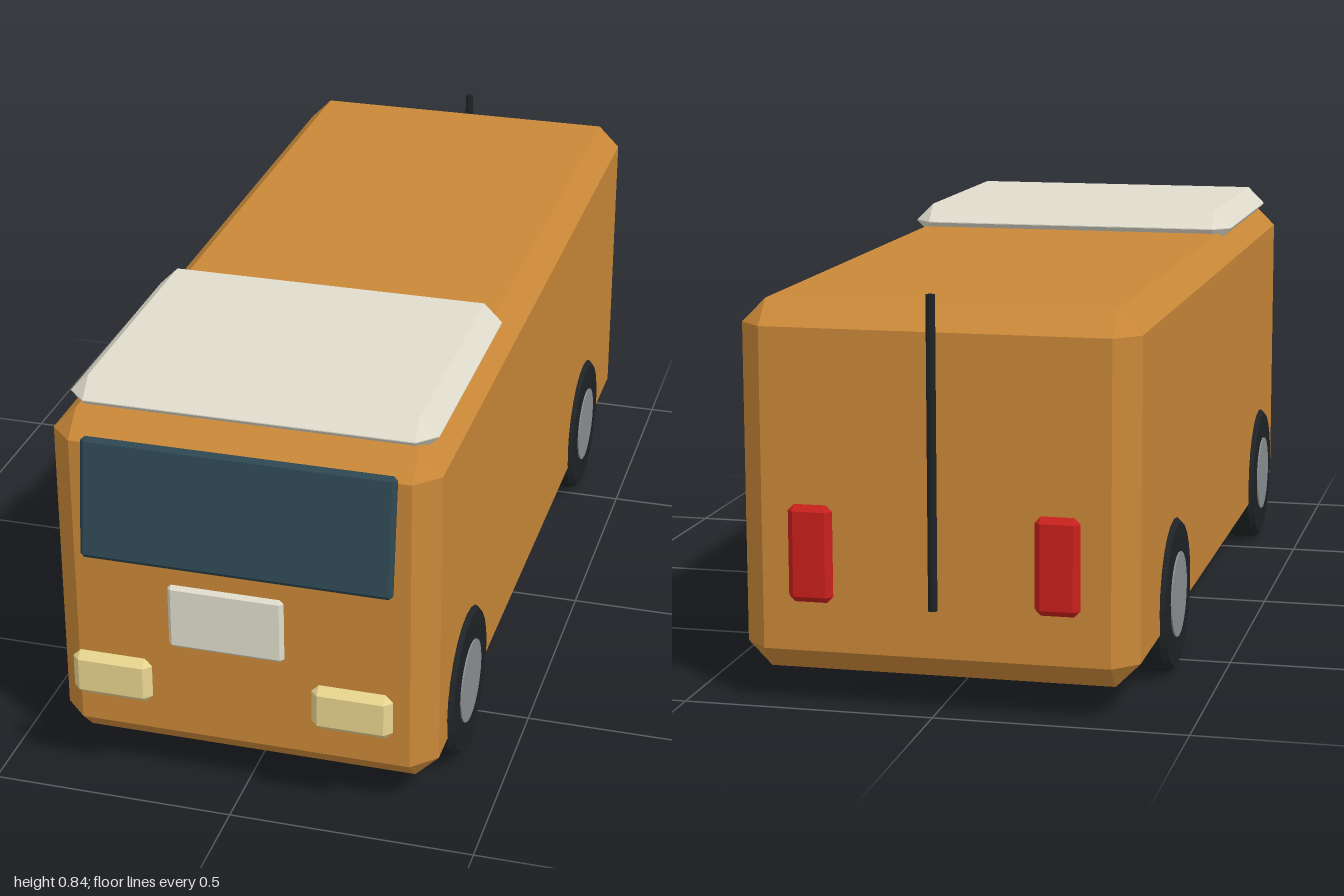
import * as THREE from 'three';
import { ConvexGeometry } from 'three/addons/geometries/ConvexGeometry.js';

const mat = (color) => new THREE.MeshStandardMaterial({ color, flatShading: true });

// Box with every edge chamfered by c: each corner becomes three points
function chamferBox(w, h, d, c) {
  const half = [w / 2, h / 2, d / 2];
  const points = [];
  for (const sx of [-1, 1]) for (const sy of [-1, 1]) for (const sz of [-1, 1]) {
    for (let full = 0; full < 3; full++) {
      const [x, y, z] = half.map((v, axis) => (axis === full ? v : v - c));
      points.push(new THREE.Vector3(sx * x, sy * y, sz * z));
    }
  }
  return new ConvexGeometry(points);
}

export function createModel() {
  const van = new THREE.Group();
  van.name = 'van';

  const paint = mat(0xc98838);
  const cream = mat(0xe0dccd);
  const glass = mat(0x2e4752);
  const lamp = mat(0xe8d590);
  const red = mat(0xc8201c);
  const rubber = mat(0x1f2325);
  const steel = mat(0x8c9092);

  function add(name, geometry, material, x, y, z, parent = van) {
    const mesh = new THREE.Mesh(geometry, material);
    mesh.name = name;
    mesh.position.set(x, y, z);
    parent.add(mesh);
    return mesh;
  }

  // Shell and raised roof
  add('body', chamferBox(0.784, 0.73, 1.876, 0.048), paint, 0, 0.43, -0.038);
  add('raisedRoof', chamferBox(0.744, 0.078, 0.606, 0.038), cream, 0, 0.806, 0.538);

  // Front panel
  const windscreen = add('windscreen', chamferBox(0.634, 0.252, 0.02, 0.008), glass, 0, 0.637, 0.917);
  windscreen.rotation.x = -0.125;
  add('frontPlate', chamferBox(0.234, 0.138, 0.016, 0.0075), cream, 0, 0.444, 0.992);

  // Lamps
  for (const side of [-1, 1]) {
    add('headlight', chamferBox(0.164, 0.098, 0.032, 0.015), lamp, side * 0.246, 0.271, 0.97);
    add('tailLight', chamferBox(0.088, 0.192, 0.026, 0.012), red, side * 0.243, 0.31, -0.987);
  }

  // Rear pole
  add('rearPole', new THREE.CylinderGeometry(0.009, 0.009, 0.61, 10), rubber, 0, 0.516, -0.99);

  // Wheel with chamfered tyre and a hub on the axle
  function addWheel(name, x, z, width, hubRadius, hubWidth) {
    const wheel = new THREE.Group();
    wheel.name = name;
    wheel.position.set(x, 0.16, z);
    wheel.rotation.z = Math.PI / 2;
    const r = 0.158, b = 0.012, h = width / 2;
    const profile = [[0, -h], [r - b, -h], [r, b - h], [r, h - b], [r - b, h], [0, h]]
      .map(([px, py]) => new THREE.Vector2(px, py));
    add('tyre', new THREE.LatheGeometry(profile, 24), rubber, 0, 0, 0, wheel);
    add('hub', new THREE.CylinderGeometry(hubRadius, hubRadius, hubWidth, 24), steel, 0, 0, 0, wheel);
    van.add(wheel);
  }

  // Outer road wheels, inner wheels beside them, and a pair on the centre line
  for (const side of [-1, 1]) {
    for (const z of [0.63, -0.57]) addWheel('outerWheel', side * 0.365, z, 0.074, 0.087, 0.08);
    for (const z of [0.51, -0.45]) addWheel('innerWheel', side * 0.311, z, 0.05, 0.104, 0.056);
  }
  for (const z of [0.305, -0.25]) addWheel('centreWheel', 0, z, 0.05, 0.104, 0.056);

  return van;
}
